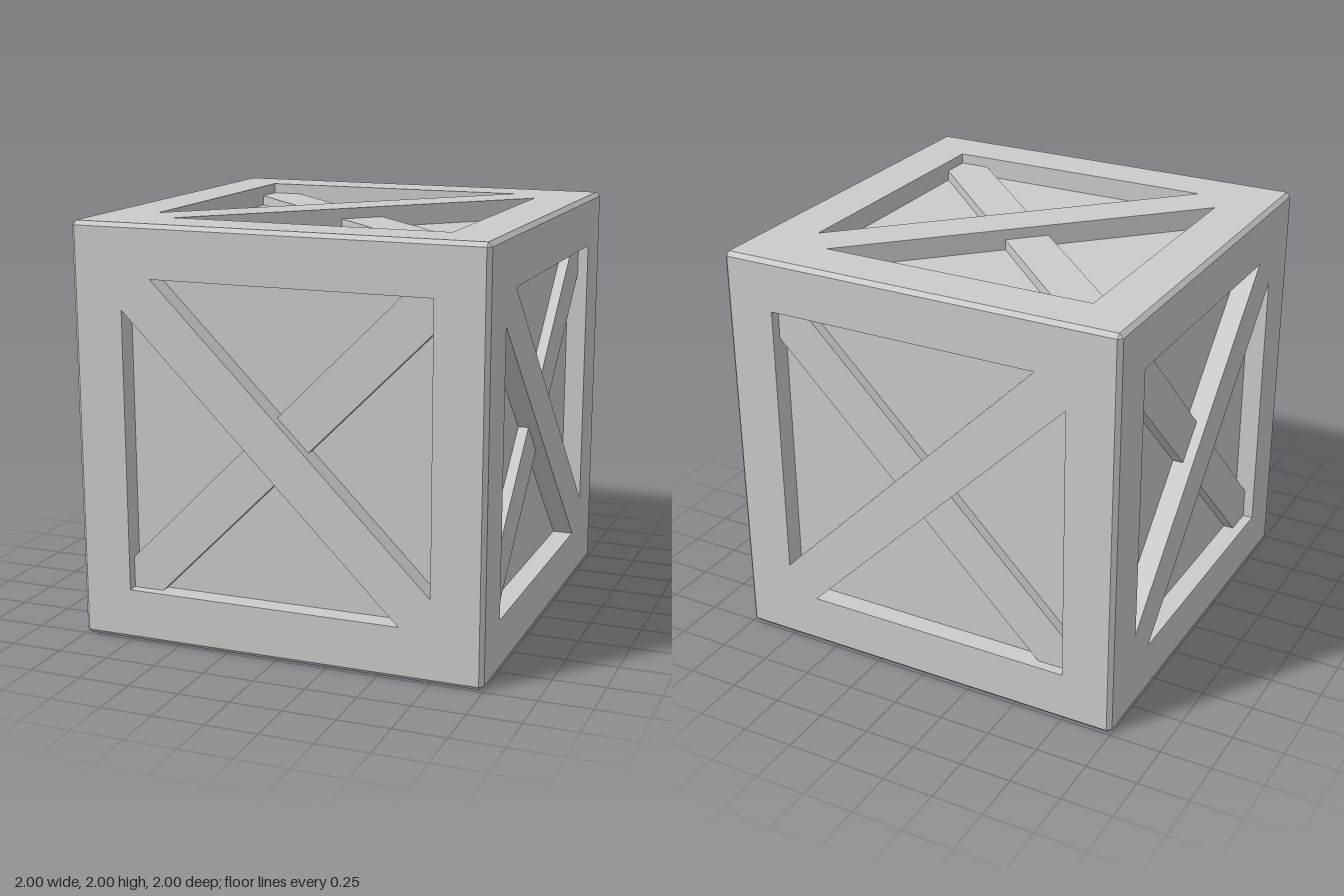
import * as THREE from 'three';
import { ConvexGeometry } from 'three/addons/geometries/ConvexGeometry.js';

const HALF = 1;        // half of the crate's side
const BEVEL = 0.02;    // chamfer on the outer edges
const OPEN = 0.75;     // half of the opening in each side
const RECESS = 0.1;    // depth of the panels behind the frame
const LAP = 0.05;      // depth of the lower brace behind the frame
const BRACE = 0.15;    // how far a brace reaches along the opening from its corner

const material = new THREE.MeshStandardMaterial({ color: 0xcccccc, flatShading: true });

function mesh(name, geometry) {
  const m = new THREE.Mesh(geometry, material);
  m.name = name;
  return m;
}

function square(h, Type = THREE.Shape) {
  return new Type([[-h, -h], [h, -h], [h, h], [-h, h]].map(([x, y]) => new THREE.Vector2(x, y)));
}

// Flat piece standing on the panel
function slab(shape, depth) {
  const g = new THREE.ExtrudeGeometry(shape, { depth, bevelEnabled: false });
  return g.translate(0, 0, HALF - RECESS);
}

// Diagonal board from upper left to lower right, cut to the opening
function braceShape() {
  const a = OPEN, b = OPEN - BRACE;
  return new THREE.Shape([[-a, b], [a - BRACE, -a], [a, -a], [a, -b], [-b, a], [-a, a]]
    .map(([x, y]) => new THREE.Vector2(x, y)));
}

// Chamfers along the twelve edges and eight corners: a chamfered cube without its six flat sides
function chamferGeometry() {
  const points = [];
  for (const sx of [-1, 1]) for (const sy of [-1, 1]) for (const sz of [-1, 1])
    for (let axis = 0; axis < 3; axis++) {
      const p = [sx, sy, sz].map((s, i) => s * (i === axis ? HALF : HALF - BEVEL));
      points.push(new THREE.Vector3(...p));
    }
  const full = new ConvexGeometry(points).getAttribute('position');
  const kept = [];
  const tri = new THREE.Triangle(), normal = new THREE.Vector3();
  for (let i = 0; i < full.count; i += 3) {
    tri.setFromAttributeAndIndices(full, i, i + 1, i + 2);
    tri.getNormal(normal);
    if (Math.max(...normal.toArray().map(Math.abs)) < 0.95)
      for (const v of [tri.a, tri.b, tri.c]) kept.push(v.x, v.y, v.z);
  }
  const g = new THREE.BufferGeometry();
  g.setAttribute('position', new THREE.Float32BufferAttribute(kept, 3));
  g.computeVertexNormals();
  return g;
}

export function createModel() {
  const crate = new THREE.Group();
  crate.name = 'crate';

  // Inner box whose sides are the recessed panels
  const inner = 2 * (HALF - RECESS);
  crate.add(mesh('panels', new THREE.BoxGeometry(inner, inner, inner)));
  crate.add(mesh('edgeChamfers', chamferGeometry()));

  const frameShape = square(HALF - BEVEL);
  frameShape.holes.push(square(OPEN, THREE.Path));
  const frame = slab(frameShape, RECESS);
  const upper = slab(braceShape(), RECESS);
  const lower = slab(braceShape(), RECESS - LAP);

  // Six sides: name, turn about x, turn about y, whether the upper brace leans the other way
  const q = Math.PI / 2;
  const sides = [
    ['front', 0, 0, false], ['back', 0, 2 * q, true],
    ['left', 0, q, false], ['right', 0, -q, true],
    ['top', -q, 0, true], ['bottom', q, 0, false],
  ];
  for (const [name, rx, ry, flip] of sides) {
    const side = new THREE.Group();
    side.name = name + 'Side';
    side.rotation.set(rx, ry, 0);
    const upperBrace = mesh('upperBrace', upper);
    const lowerBrace = mesh('lowerBrace', lower);
    (flip ? upperBrace : lowerBrace).rotation.z = q;
    side.add(mesh('frame', frame), upperBrace, lowerBrace);
    crate.add(side);
  }

  crate.position.y = HALF;
  const model = new THREE.Group();
  model.add(crate);
  return model;
}
